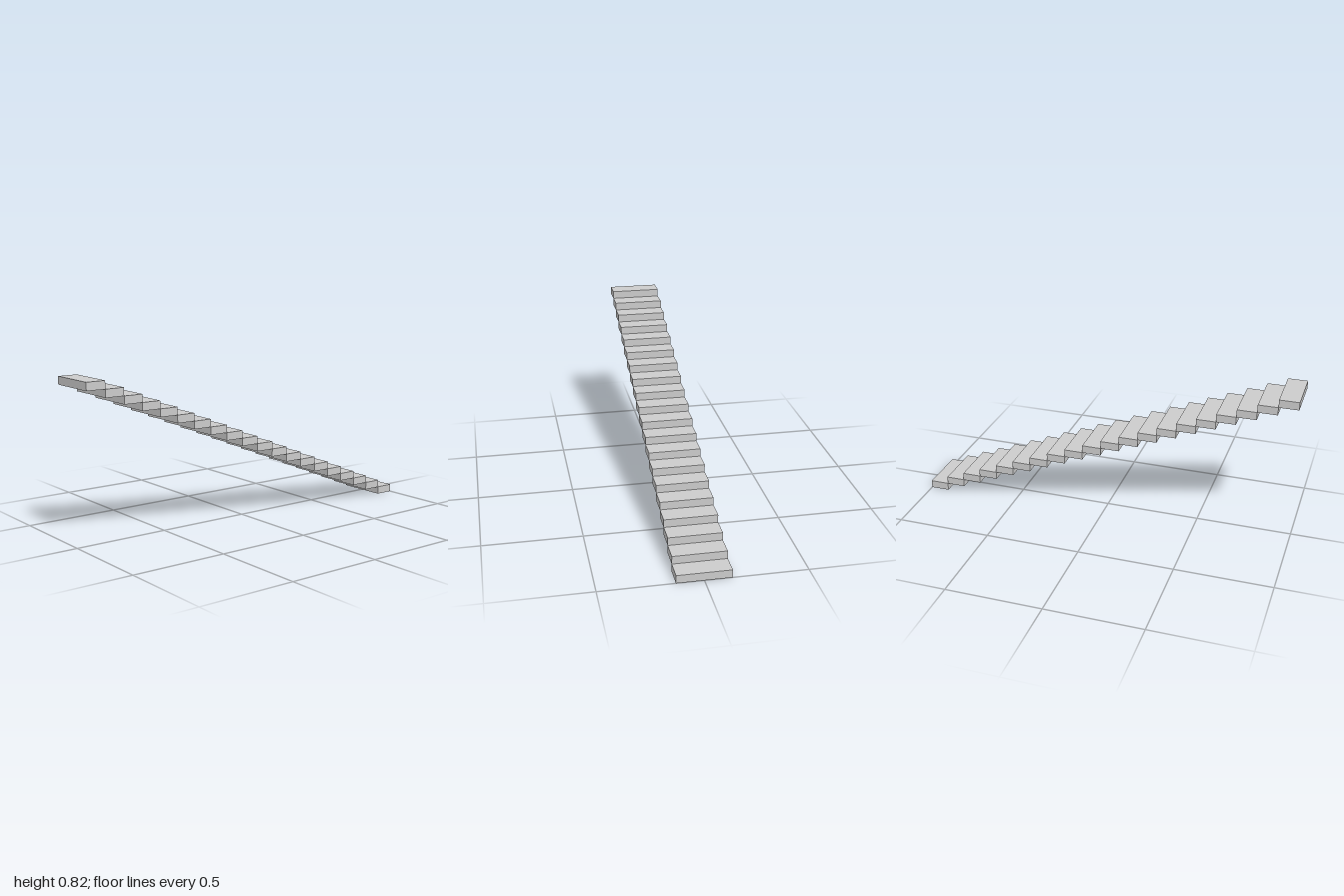
import * as THREE from 'three';

const STEPS = 20;
const TREAD = 2 / STEPS;
const RISE = 0.8175 / STEPS;
const DEPTH = 0.267;

export function createModel() {
  const staircase = new THREE.Group();
  staircase.name = 'staircase';
  const material = new THREE.MeshStandardMaterial({ color: 0xcccccc, flatShading: true });
  const slab = new THREE.BoxGeometry(TREAD, RISE, DEPTH);

  // Slabs climb from the lowest at +x to the highest at -x, meeting edge to edge
  for (let i = 0; i < STEPS; i++) {
    const step = new THREE.Mesh(slab, material);
    step.name = `step${i + 1}`;
    step.position.set(1 - (i + 0.5) * TREAD, (i + 0.5) * RISE, 0);
    staircase.add(step);
  }
  return staircase;
}
